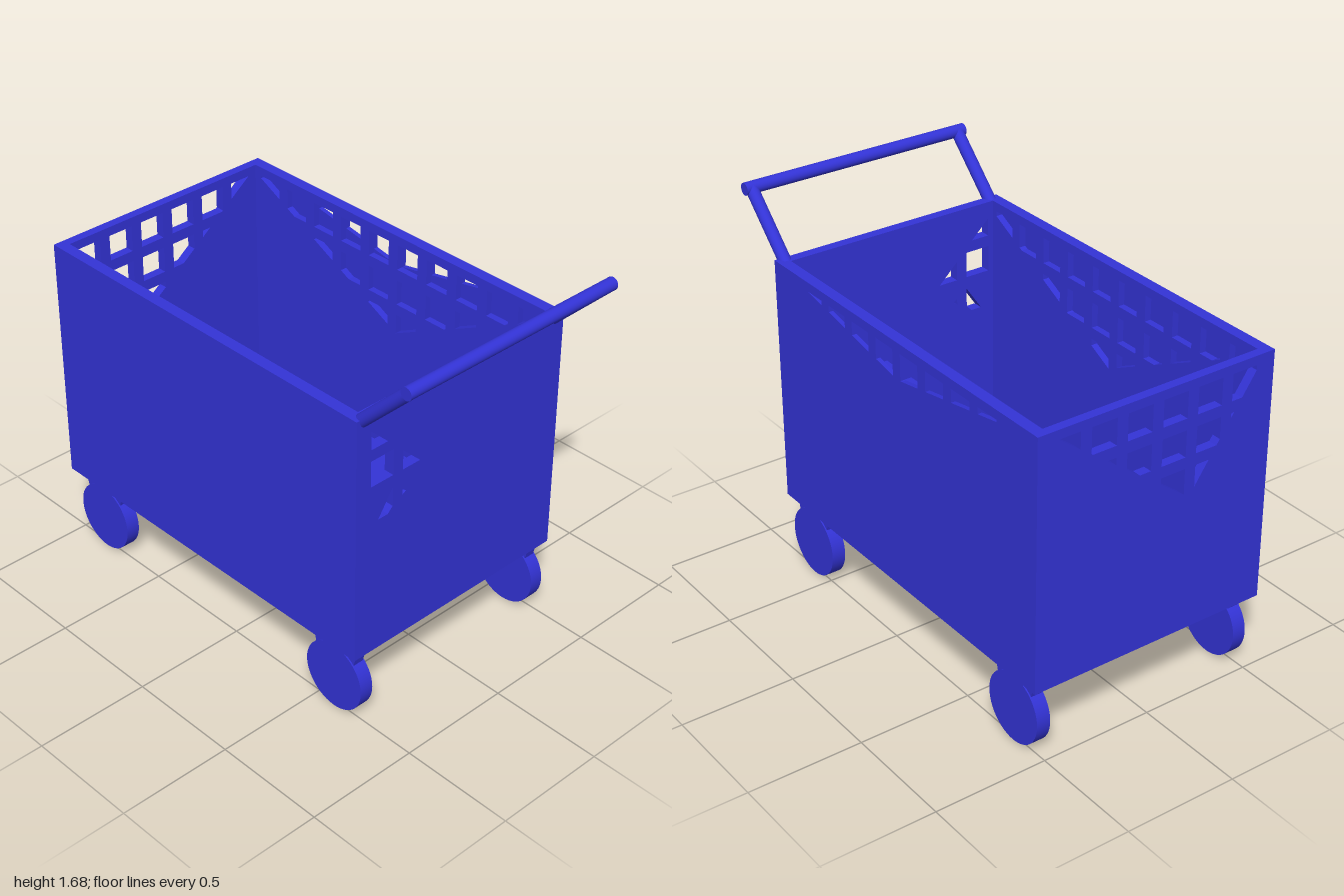
import * as THREE from 'three';

const V = (x, y) => new THREE.Vector2(x, y);
const PITCH = 0.165, CELL = 0.115;
const BOTTOM = 0.33, TOP = 1.43;

// Cut a convex polygon with a counter-clockwise convex region
function clip(poly, region) {
  region.forEach((a, i) => {
    const b = region[(i + 1) % region.length];
    const side = p => (b.x - a.x) * (p.y - a.y) - (b.y - a.y) * (p.x - a.x);
    const out = [];
    poly.forEach((p, j) => {
      const q = poly[(j + 1) % poly.length], sp = side(p), sq = side(q);
      if (sp >= 0) out.push(p);
      if (sp * sq < 0) out.push(p.clone().lerp(q, sp / (sp - sq)));
    });
    poly = out;
  });
  return poly;
}

// Grid of square openings, trimmed to a region
function gridHoles(start, columns, region) {
  const holes = [];
  for (let r = 0; r < 3; r++) {
    for (let c = 0; c < columns; c++) {
      const x = start + c * PITCH, y = 1.275 - r * PITCH;
      const cell = [V(x, y), V(x + CELL, y), V(x + CELL, y + CELL), V(x, y + CELL)];
      const hole = clip(cell, region);
      if (hole.length > 2 && Math.abs(THREE.ShapeUtils.area(hole)) > 1e-4) holes.push(hole);
    }
  }
  return holes;
}

export function createModel() {
  const model = new THREE.Group();
  model.name = 'basketTrolley';
  const blue = new THREE.MeshStandardMaterial({ color: 0x3333d6 });

  const add = (name, geometry, x = 0, y = 0, z = 0, parent = model) => {
    const mesh = new THREE.Mesh(geometry, blue);
    mesh.name = name;
    mesh.position.set(x, y, z);
    parent.add(mesh);
    return mesh;
  };

  // Upright panel in the XY plane with openings
  const panel = (u0, u1, depth, holes = []) => {
    const shape = new THREE.Shape([V(u0, BOTTOM), V(u1, BOTTOM), V(u1, TOP), V(u0, TOP)]);
    holes.forEach(h => shape.holes.push(new THREE.Path(h)));
    return new THREE.ExtrudeGeometry(shape, { depth, bevelEnabled: false });
  };

  // Side walls: an outer and an inner layer with different openings
  const shallow = [V(0.5, 1.391), V(-0.82, 1.391), V(-0.13, 1.27)];
  const deep = [V(0.72, 1.391), V(-0.95, 1.391), V(-0.1, 0.97)];
  const sideLayer = (name, x, depth, holes) => {
    add(name, panel(-1, 0.745, depth, holes), x).rotation.y = -Math.PI / 2;
  };
  const deepHoles = gridHoles(-0.925, 10, deep);
  sideLayer('leftWallOuter', 0.55, 0.02, gridHoles(-0.925, 10, shallow));
  sideLayer('leftWallInner', 0.53, 0.03, deepHoles);
  sideLayer('rightWallOuter', -0.53, 0.02);
  sideLayer('rightWallInner', -0.5, 0.03, deepHoles);

  // Back wall with a V-shaped field of openings
  const vee = [V(0.46, 1.391), V(-0.48, 1.391), V(-0.16, 0.93)];
  add('backWall', panel(-0.5, 0.5, 0.04, gridHoles(-0.465, 6, vee)), 0, 0, -1);

  // Front wall with a few openings in one corner
  const frontHoles = [
    [V(-0.475, 1.275), V(-0.39, 1.275), V(-0.475, 1.355)],
    [V(-0.475, 1.11), V(-0.36, 1.11), V(-0.36, 1.225), V(-0.475, 1.225)],
    [V(-0.31, 1.11), V(-0.22, 1.11), V(-0.31, 1.195)],
    [V(-0.435, 0.945), V(-0.385, 0.945), V(-0.36, 0.97), V(-0.36, 1.055)],
    [V(-0.31, 0.995), V(-0.29, 1.007), V(-0.31, 1.02)],
  ];
  add('frontWall', panel(-0.5, 0.5, 0.045, frontHoles), 0, 0, 0.7);

  // Floor
  add('floor', new THREE.BoxGeometry(1, 0.05, 1.66), 0, BOTTOM + 0.025, -0.13);

  // Push handle: two slanted arms and a crossbar
  const handle = new THREE.Group();
  handle.name = 'handle';
  model.add(handle);
  const bar = add('crossbar', new THREE.CylinderGeometry(0.027, 0.027, 1.08, 32), 0, 1.655, 0.973, handle);
  bar.rotation.z = Math.PI / 2;
  for (const s of [-1, 1]) {
    const path = new THREE.LineCurve3(
      new THREE.Vector3(s * 0.508, 1.41, 0.725), new THREE.Vector3(s * 0.508, 1.655, 0.973));
    add('handleArm', new THREE.TubeGeometry(path, 1, 0.027, 32), 0, 0, 0, handle);
    add('armEnd', new THREE.SphereGeometry(0.027, 24, 16), s * 0.508, 1.415, 0.73, handle);
  }

  // Casters: tapered bracket and disc wheel
  const bracket = new THREE.ExtrudeGeometry(
    new THREE.Shape([V(-0.1, 0.24), V(0.1, 0.24), V(0.121, BOTTOM), V(-0.121, BOTTOM)]),
    { depth: 0.05, bevelEnabled: false });
  const wheel = new THREE.CylinderGeometry(0.152, 0.152, 0.062, 48).rotateZ(Math.PI / 2);
  for (const x of [-0.489, 0.489]) {
    for (const z of [0.6, -0.825]) {
      const caster = new THREE.Group();
      caster.name = 'caster';
      caster.position.set(x, 0, z);
      model.add(caster);
      add('bracket', bracket, 0.025, 0, 0, caster).rotation.y = -Math.PI / 2;
      add('wheel', wheel, 0, 0.152, 0, caster);
    }
  }
  return model;
}
